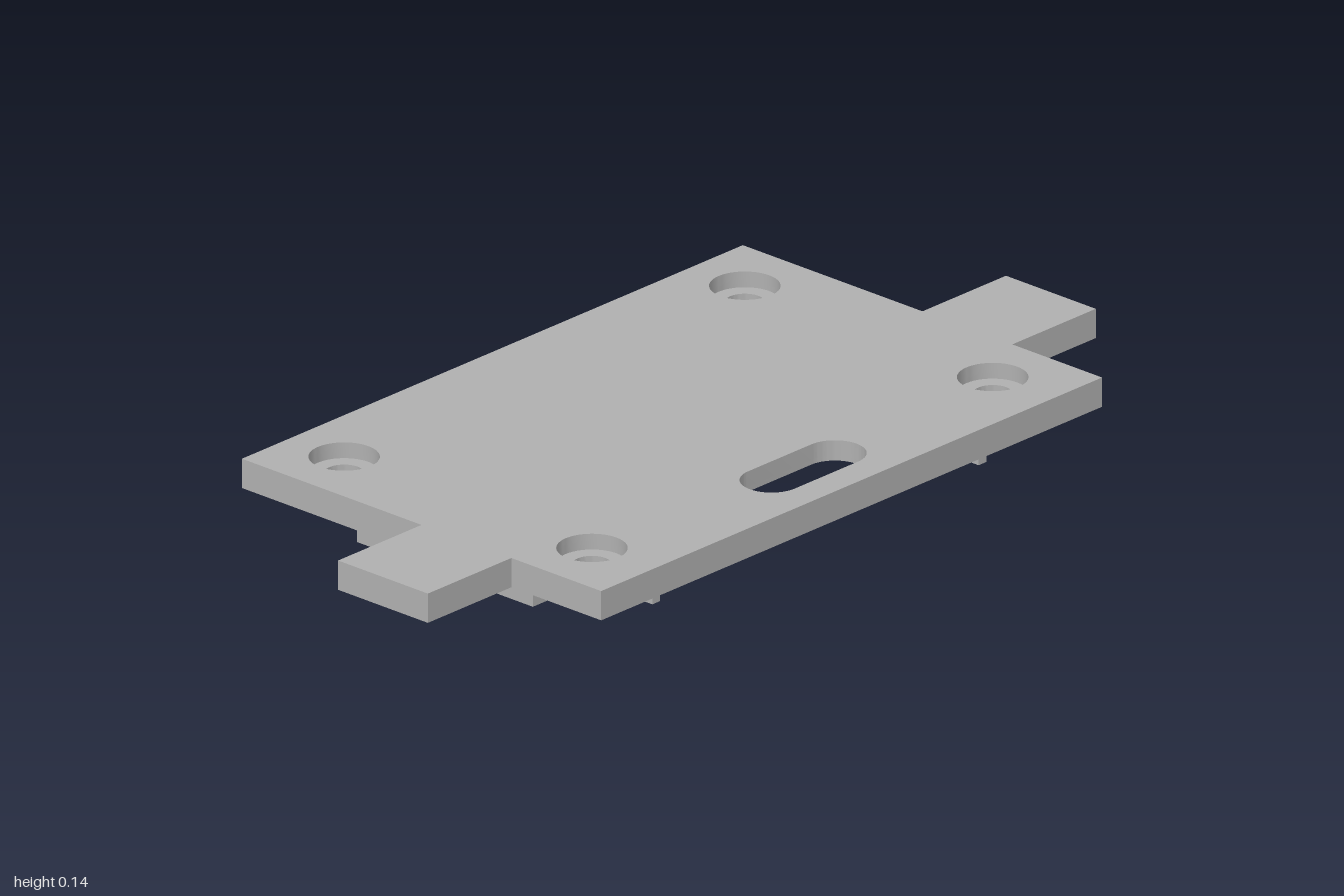
import * as THREE from 'three';
import { toCreasedNormals } from 'three/addons/utils/BufferGeometryUtils.js';

const grey = new THREE.MeshStandardMaterial({ color: 0xb0b0b0 });
grey.name = 'grey';

const screwSpots = [[-0.6, -0.355], [0.6, -0.355], [-0.6, 0.335], [0.6, 0.335]];

// Closed path from [x, z] points
function polygon(points) {
  return new THREE.Path(points.map(([x, z]) => new THREE.Vector2(x, z)));
}

function rectangle(x0, x1, z0, z1) {
  return polygon([[x0, z0], [x1, z0], [x1, z1], [x0, z1]]);
}

function circle(x, z, r) {
  return new THREE.Path().absarc(x, z, r, 0, Math.PI * 2, true);
}

// Rounded cable slot
function slot() {
  const p = new THREE.Path();
  p.absarc(0.095, 0.365, 0.065, -Math.PI / 2, Math.PI / 2, false);
  p.absarc(-0.095, 0.365, 0.065, Math.PI / 2, Math.PI * 1.5, false);
  return p;
}

// Plate outline with a tab on each side
function outline() {
  const half = [[0.75, -0.5], [0.75, 0], [1, 0], [1, 0.25], [0.75, 0.25], [0.75, 0.5]];
  const mirrored = half.map(([x, z]) => [-x, z]).reverse();
  return new THREE.Shape([...half, ...mirrored].map(([x, z]) => new THREE.Vector2(x, z)));
}

export function createModel() {
  const model = new THREE.Group();
  model.name = 'mountingPlate';

  // One slice of the plate between two heights, cut by holes
  function layer(name, y0, y1, holes) {
    const shape = outline();
    shape.holes = holes;
    const geo = new THREE.ExtrudeGeometry(shape, { depth: y1 - y0, bevelEnabled: false, curveSegments: 24 });
    geo.rotateX(Math.PI / 2).translate(0, y1, 0);
    const mesh = new THREE.Mesh(toCreasedNormals(geo, 0.6), grey);
    mesh.name = name;
    model.add(mesh);
  }

  function rib(name, x0, x1, z0, z1) {
    const mesh = new THREE.Mesh(new THREE.BoxGeometry(x1 - x0, 0.07, z1 - z0), grey);
    mesh.position.set((x0 + x1) / 2, 0.035, (z0 + z1) / 2);
    mesh.name = name;
    model.add(mesh);
  }

  const screwHoles = (r) => screwSpots.map(([x, z]) => circle(x, z, r));

  // Top with counterbores, solid middle, and underside with shallow pockets
  layer('topLayer', 0.1, 0.135, [...screwHoles(0.073), slot()]);
  layer('middleLayer', 0.09, 0.1, [...screwHoles(0.04), slot()]);
  layer('pocketLayer', 0.07, 0.09, [
    ...screwHoles(0.04),
    polygon([[0.055, -0.265], [0.6, -0.265], [0.6, 0.27], [0.475, 0.27], [0.475, 0.11], [0.055, 0.11]]),
    rectangle(-0.59, -0.045, -0.265, 0.1),
    rectangle(-0.365, 0.365, 0.13, 0.445),
  ]);

  // Locating ribs below the plate
  rib('backRib', -0.5, 0.5, -0.42, -0.37);
  rib('leftRib', 0.62, 0.675, -0.25, 0.24);
  rib('rightRib', -0.675, -0.62, -0.25, 0.24);
  rib('leftFrontStop', 0.477, 0.5, 0.36, 0.41);
  rib('rightFrontStop', -0.5, -0.477, 0.36, 0.41);

  return model;
}
